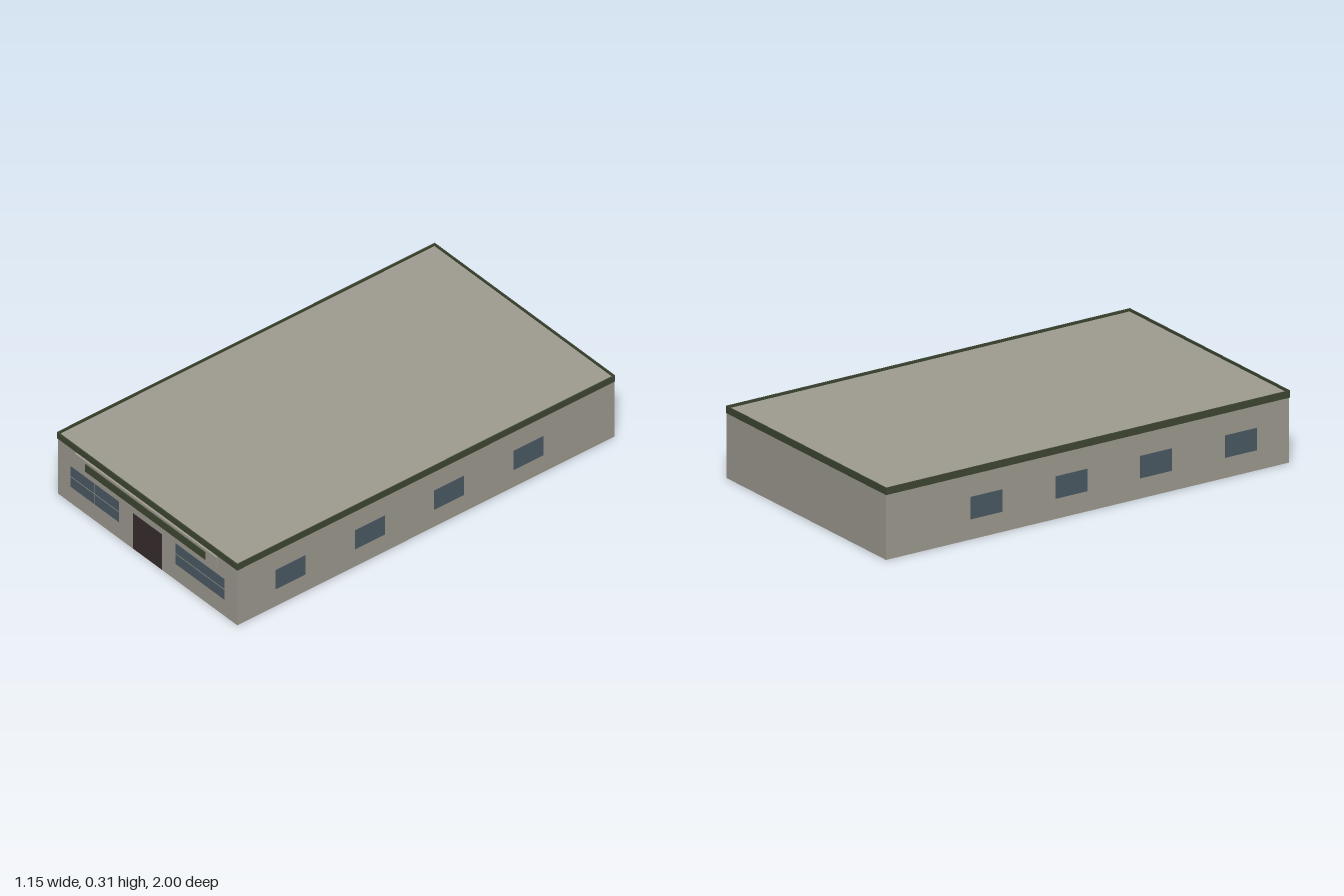
import * as THREE from 'three';

const paint = (name, color) => {
  const m = new THREE.MeshStandardMaterial({ color });
  m.name = name;
  return m;
};

export function createModel() {
  const wall = paint('warm grey wall', 0xa09c92);
  const green = paint('dark green trim', 0x3f4833);
  const glass = paint('blue grey glass', 0x4c5b65);
  const doorPaint = paint('dark brown door', 0x382c2e);

  const model = new THREE.Group();
  model.name = 'building';

  // Box given by its lowest and highest corners
  const block = (name, mat, [x0, y0, z0], [x1, y1, z1]) => {
    const mesh = new THREE.Mesh(new THREE.BoxGeometry(x1 - x0, y1 - y0, z1 - z0), mat);
    mesh.position.set((x0 + x1) / 2, (y0 + y1) / 2, (z0 + z1) / 2);
    mesh.name = name;
    model.add(mesh);
  };

  // Rectangular ring of four thin slabs, open above and below
  const ring = (name, mat, x, zBack, zFront, y0, y1, t) => {
    block(name + 'Left', mat, [x - t, y0, zBack], [x, y1, zFront]);
    block(name + 'Right', mat, [-x, y0, zBack], [-x + t, y1, zFront]);
    block(name + 'Front', mat, [-x + t, y0, zFront - t], [x - t, y1, zFront]);
    block(name + 'Back', mat, [-x + t, y0, zBack], [x - t, y1, zBack + t]);
  };

  // Hollow shell: walls, sunken flat roof and green parapet band
  const X = 0.572, BACK = -0.998, FRONT = 0.985;
  ring('wall', wall, X, BACK, FRONT, 0, 0.3, 0.002);
  block('roof', wall, [-X + 0.001, 0.297, BACK + 0.001], [X - 0.001, 0.301, FRONT - 0.001]);
  ring('parapet', green, 0.575, -1, 0.988, 0.282, 0.313, 0.005);

  // Entrance door, set through the front wall
  block('door', doorPaint, [-0.092, 0.003, FRONT - 0.004], [0.092, 0.182, FRONT + 0.002]);

  // Front windows: two groups of four panes
  for (const side of [-1, 1])
    for (const cx of [0.2575, 0.4135])
      for (const [y0, y1] of [[0.084, 0.133], [0.139, 0.188]])
        block('frontWindow', glass, [side * cx - 0.0762, y0, FRONT - 0.001], [side * cx + 0.0762, y1, FRONT + 0.002]);

  // Side windows, four along each long wall
  for (let i = 0; i < 4; i++) {
    const zl = 0.706 - i * 0.417, zr = 0.747 - i * 0.417;
    block('leftWindow', glass, [X - 0.001, 0.088, zl - 0.078], [X + 0.002, 0.185, zl + 0.078]);
    block('rightWindow', glass, [-X - 0.002, 0.088, zr - 0.078], [-X + 0.001, 0.185, zr + 0.078]);
  }

  // Blank sign board with a green strip over the entrance
  block('signBoard', wall, [-0.45, 0.223, FRONT - 0.001], [0.45, 0.28, 0.996]);
  block('signStrip', green, [-0.382, 0.231, 0.995], [0.382, 0.268, 1]);

  return model;
}
